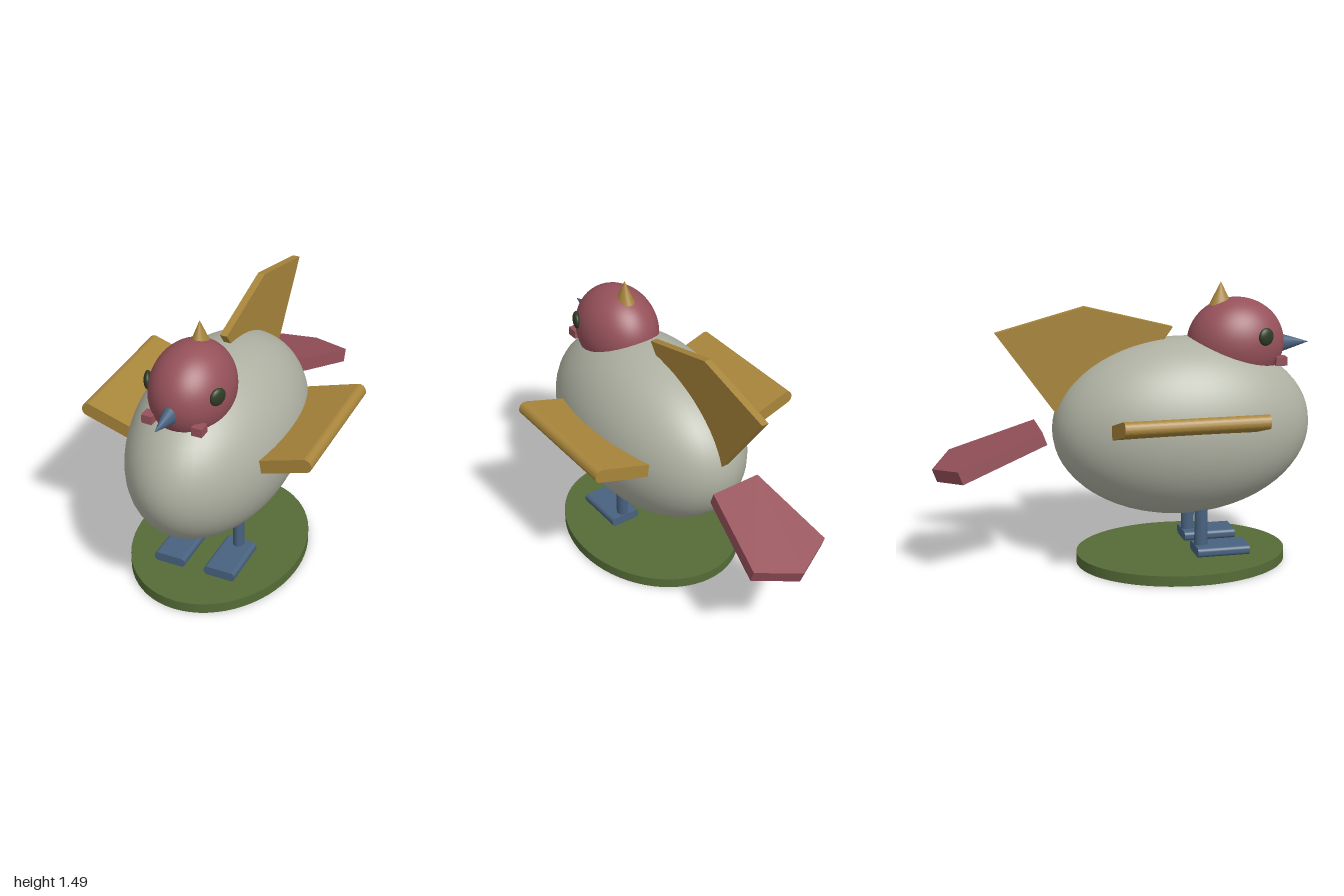
import * as THREE from 'three';

const paint = (name, color) => {
  const m = new THREE.MeshStandardMaterial({ color });
  m.name = name;
  return m;
};

export function createModel() {
  const cream = paint('cream grey', 0xaeb1a2);
  const red = paint('dusty red', 0x96515a);
  const gold = paint('gold', 0xa8853b);
  const blue = paint('slate blue', 0x48627f);
  const green = paint('grass green', 0x556b37);
  const dark = paint('eye green', 0x2f3b25);

  const bird = new THREE.Group();
  bird.name = 'bird';

  const add = (name, geo, mat, x = 0, y = 0, z = 0) => {
    const mesh = new THREE.Mesh(geo, mat);
    mesh.name = name;
    mesh.position.set(x, y, z);
    bird.add(mesh);
    return mesh;
  };
  const ellipsoid = (rx, ry, rz) => new THREE.SphereGeometry(1, 48, 32).scale(rx, ry, rz);
  const polygon = (pts) => new THREE.Shape(pts.map(([x, y]) => new THREE.Vector2(x, y)));
  const slab = (shape, depth) =>
    new THREE.ExtrudeGeometry(shape, { depth, bevelEnabled: false, curveSegments: 8 });

  // Rectangle with rounded corners, centred on the origin
  const roundedRect = (w, h, r) => {
    const s = new THREE.Shape(), a = w / 2, b = h / 2;
    s.moveTo(-a + r, -b);
    s.lineTo(a - r, -b).absarc(a - r, -b + r, r, -Math.PI / 2, 0);
    s.lineTo(a, b - r).absarc(a - r, b - r, r, 0, Math.PI / 2);
    s.lineTo(-a + r, b).absarc(-a + r, b - r, r, Math.PI / 2, Math.PI);
    s.lineTo(-a, -b + r).absarc(-a + r, -b + r, r, Math.PI, Math.PI * 1.5);
    return s;
  };

  // Oval stand
  add('stand', new THREE.CylinderGeometry(1, 1, 0.055, 64).scale(0.445, 1, 0.56), green, 0, 0.0275, 0.315);

  // Body and head
  add('body', ellipsoid(0.4, 0.469, 0.685), cream, 0, 0.735, 0.315);
  add('head', ellipsoid(0.205, 0.235, 0.256), red, 0, 1.165, 0.6);

  // Beak and crest
  add('beak', new THREE.ConeGeometry(1, 0.2, 32).rotateX(Math.PI / 2).scale(0.048, 0.063, 1), blue, 0, 1.15, 0.9);
  add('crest', new THREE.ConeGeometry(1, 0.12, 32).scale(0.045, 1, 0.06), gold, 0, 1.425, 0.517);

  // Upright fan on the back
  const fan = polygon([[0.26, 1.26], [-0.09, 0.77], [-0.31, 0.77], [-0.66, 1.26], [-0.2, 1.38]]);
  add('backFan', slab(fan, 0.038).translate(0, 0, -0.019).rotateY(-Math.PI / 2), gold);

  // Sloping tail
  const tail = polygon([[-0.138, 0], [0.138, 0], [0.222, 0.468], [0, 0.585], [-0.222, 0.468]]);
  add('tail', slab(tail, 0.072).translate(0, 0, -0.072), red, 0, 0.77, -0.445)
    .rotation.x = THREE.MathUtils.degToRad(-110);

  for (const side of [1, -1]) {
    const tag = side > 0 ? 'left' : 'right';

    // Wing, raised towards its rounded tip
    const wing = slab(roundedRect(0.42, 0.072, 0.033), 0.73).translate(-0.21, 0, 0);
    add(tag + 'Wing', wing.rotateZ(0.31).translate(0.615, 0.889, 0)
      .rotateY(side > 0 ? 0 : Math.PI), gold, 0, 0, side > 0 ? -0.12 : 0.61);

    // Eye, flattened against the head
    const eye = add(tag + 'Eye', new THREE.SphereGeometry(1, 24, 16).scale(0.046, 0.046, 0.02), dark,
      side * 0.182, 1.22, 0.71);
    eye.rotation.set(0, side * 1.17, 0);

    // Small cheek tuft
    add(tag + 'Cheek', new THREE.BoxGeometry(0.055, 0.045, 0.06), red, side * 0.13, 1.082, 0.805);

    // Leg and foot
    add(tag + 'Leg', new THREE.CylinderGeometry(1, 1, 0.3, 24).scale(0.028, 1, 0.035), blue,
      side * 0.14, 0.24, 0.39);
    add(tag + 'Foot', slab(roundedRect(0.17, 0.05, 0.02), 0.28), blue, side * 0.14, 0.091, 0.355);
  }

  return bird;
}
